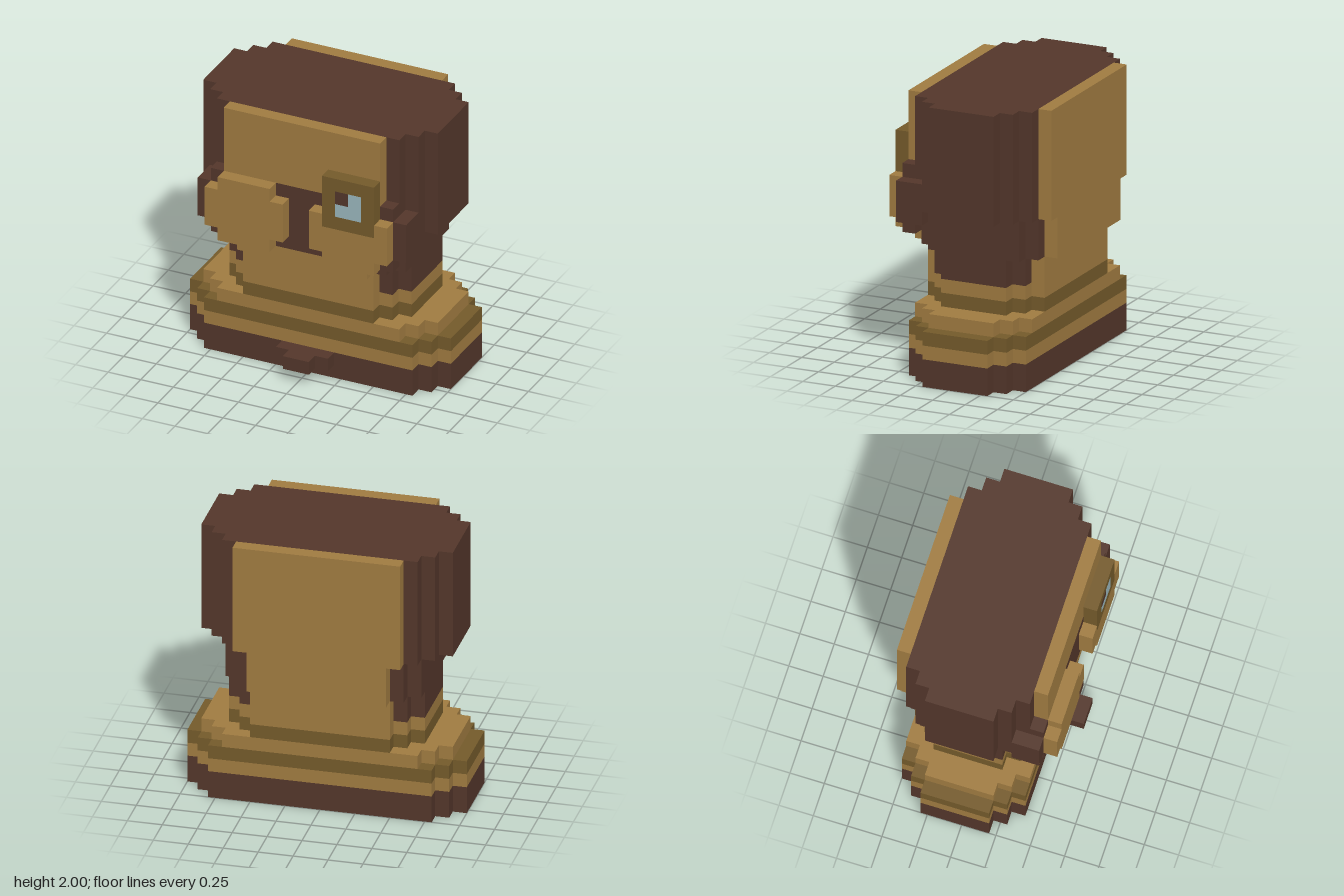
import * as THREE from 'three';

export function createModel() {
  const group = new THREE.Group();
  const material = (name, color) => {
    const m = new THREE.MeshStandardMaterial({ color });
    m.name = name;
    return m;
  };
  const tan = material('tan', 0xa17c41);
  const olive = material('olive', 0x755b2b);
  const brown = material('brown', 0x54372b);
  const blue = material('paleBlue', 0x9bb8be);

  const add = (name, geometry, mat) => {
    const mesh = new THREE.Mesh(geometry, mat);
    mesh.name = name;
    group.add(mesh);
    return mesh;
  };

  // Block given by its minimum and maximum on each axis
  const block = (name, mat, x0, x1, y0, y1, z0, z1) =>
    add(name, new THREE.BoxGeometry(x1 - x0, y1 - y0, z1 - z0), mat)
      .position.set((x0 + x1) / 2, (y0 + y1) / 2, (z0 + z1) / 2);

  // Slab with stepped corners: each step is 0.1 narrower and 0.1 longer at both ends
  const slab = (name, mat, y0, y1, halfWidth, back, front, steps) => {
    const right = [];
    for (let i = steps - 1; i >= 0; i--) {
      const w = halfWidth - i * 0.1;
      right.push([w, back - i * 0.1]);
      if (i > 0) right.push([w, back - (i - 1) * 0.1]);
    }
    for (let i = 0; i < steps; i++) {
      const w = halfWidth - i * 0.1;
      if (i > 0) right.push([w, front + (i - 1) * 0.1]);
      right.push([w, front + i * 0.1]);
    }
    const left = right.map(([x, z]) => [-x, z]).reverse();
    const shape = new THREE.Shape([...right, ...left].map(([x, z]) => new THREE.Vector2(x, -z)));
    const geometry = new THREE.ExtrudeGeometry(shape, { depth: y1 - y0, bevelEnabled: false });
    geometry.rotateX(-Math.PI / 2);
    geometry.translate(0, y0, 0);
    add(name, geometry, mat);
  };

  // Base, shoulder tier and striped neck
  slab('baseFoot', brown, 0, 0.2, 1, -0.3, 0.2, 3);
  slab('baseStripe', tan, 0.2, 0.3, 1, -0.3, 0.2, 3);
  slab('baseRim', olive, 0.3, 0.4, 1, -0.3, 0.2, 3);
  slab('baseTier', tan, 0.4, 0.5, 0.9, -0.3, 0.2, 3);
  slab('neckStripe', olive, 0.5, 0.6, 0.7, -0.3, 0.2, 3);
  slab('neckBand', tan, 0.6, 0.7, 0.7, -0.3, 0.2, 3);

  // Small step on the front of the base
  block('frontStep', brown, -0.2, 0.2, 0.1, 0.2, 0.4, 0.5);
  block('frontStepTip', brown, -0.1, 0.1, 0.1, 0.2, 0.5, 0.6);

  // Throat and jaw with tan panels front and back
  slab('throat', brown, 0.7, 0.9, 0.7, -0.3, 0.2, 2);
  block('throatFrontPanel', tan, -0.5, 0.5, 0.7, 0.9, 0.3, 0.4);
  block('throatBackPanel', tan, -0.5, 0.5, 0.7, 0.9, -0.5, -0.4);
  slab('jaw', brown, 0.9, 1.2, 0.7, -0.4, 0.3, 2);
  block('chinPanel', tan, -0.5, 0.5, 0.9, 1.0, 0.4, 0.5);
  block('napePanel', tan, -0.5, 0.5, 0.9, 1.2, -0.6, -0.5);

  // Head
  slab('head', brown, 1.2, 2, 0.9, -0.3, 0.2, 3);
  block('headBackPanel', tan, -0.6, 0.6, 1.2, 2, -0.6, -0.5);
  block('forehead', tan, -0.6, 0.6, 1.5, 2, 0.4, 0.5);
  block('face', brown, -0.7, 0.7, 1.0, 1.5, 0.4, 0.5);
  for (const s of [-1, 1]) {
    const x = s * 0.75;
    block('faceSide', brown, x - 0.05, x + 0.05, 1.1, 1.4, 0.3, 0.5);
    const j = s * 0.65;
    block('faceSideInner', brown, j - 0.05, j + 0.05, 1.1, 1.2, 0.3, 0.4);
  }

  // Raised cheeks; the left one is notched around the eyepiece
  block('rightCheek', tan, -0.7, -0.1, 1.1, 1.4, 0.5, 0.6);
  block('rightCheekTop', tan, -0.6, -0.2, 1.4, 1.5, 0.5, 0.6);
  block('rightCheekBottom', tan, -0.6, -0.2, 1.0, 1.1, 0.5, 0.6);
  block('leftCheek', tan, 0.1, 0.7, 1.1, 1.3, 0.5, 0.6);
  block('leftCheekInner', tan, 0.1, 0.2, 1.3, 1.4, 0.5, 0.6);
  block('leftCheekOuter', tan, 0.6, 0.7, 1.3, 1.4, 0.5, 0.6);
  block('leftCheekBottom', tan, 0.2, 0.6, 1.0, 1.1, 0.5, 0.6);

  // Eyepiece frame, lens and pupil
  block('eyeFrameBottom', olive, 0.2, 0.6, 1.3, 1.4, 0.5, 0.6);
  block('eyeFrameTop', olive, 0.2, 0.6, 1.6, 1.7, 0.5, 0.6);
  block('eyeFrameInner', olive, 0.2, 0.3, 1.4, 1.6, 0.5, 0.6);
  block('eyeFrameOuter', olive, 0.5, 0.6, 1.4, 1.6, 0.5, 0.6);
  block('lensBottom', blue, 0.3, 0.5, 1.4, 1.5, 0.5, 0.6);
  block('lensTop', blue, 0.4, 0.5, 1.5, 1.6, 0.5, 0.6);
  block('pupil', brown, 0.3, 0.4, 1.5, 1.6, 0.5, 0.6);

  return group;
}
